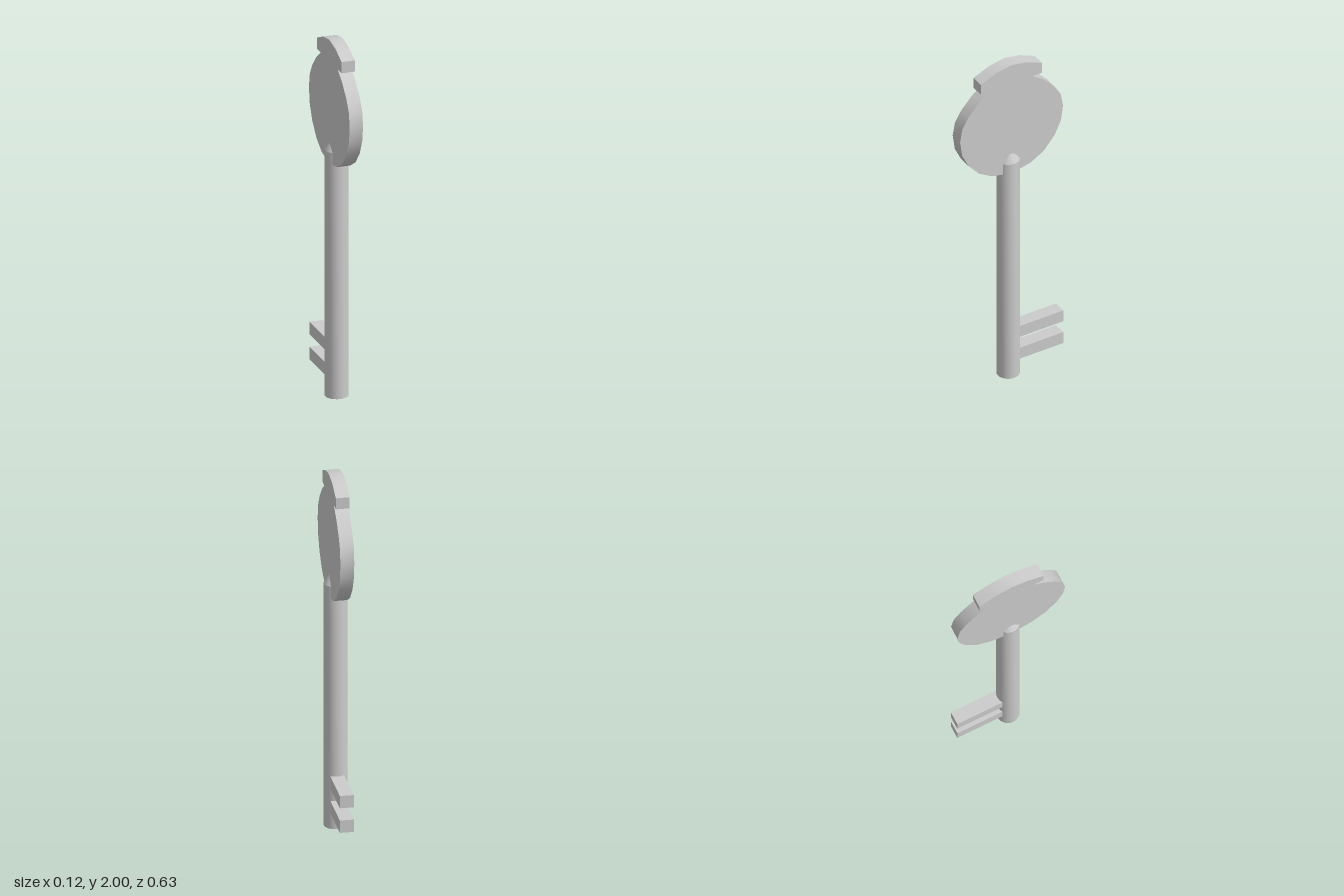
import * as THREE from 'three';
import { toCreasedNormals } from 'three/addons/utils/BufferGeometryUtils.js';

export function createModel() {
  const group = new THREE.Group();
  const material = new THREE.MeshStandardMaterial({ color: 0xcccccc });
  const add = (name, geometry) => {
    const mesh = new THREE.Mesh(geometry, material);
    mesh.name = name;
    group.add(mesh);
    return mesh;
  };

  // Bow: half outline (z, y) of the round plate and its cap, mirrored and extruded
  const half = [
    [0.06, 1.315], [0.12, 1.328], [0.2, 1.375], [0.265, 1.45], [0.303, 1.53],
    [0.316, 1.62], [0.302, 1.7], [0.262, 1.765], [0.195, 1.835], [0.13, 1.88],
    [0.188, 1.88], [0.188, 1.943], [0.095, 1.983],
  ];
  const mirrored = half.map(([z, y]) => [-z, y]).reverse();
  const outline = [...half, [0, 2], ...mirrored].map(([z, y]) => new THREE.Vector2(-z, y));
  const bowGeometry = new THREE.ExtrudeGeometry(new THREE.Shape(outline), {
    depth: 0.074, bevelEnabled: false,
  });
  bowGeometry.rotateY(Math.PI / 2).translate(-0.04, 0, 0);
  add('bow', toCreasedNormals(bowGeometry, 0.6));

  // Shaft with a conical tip running into the bow
  const shaftProfile = [[0, 0], [0.062, 0], [0.062, 1.38], [0, 1.49]]
    .map(([r, y]) => new THREE.Vector2(r, y));
  add('shaft', toCreasedNormals(new THREE.LatheGeometry(shaftProfile, 24), 0.45));

  // Two teeth of the bit
  for (const y of [0.125, 0.265]) {
    add('tooth', new THREE.BoxGeometry(0.074, 0.07, 0.285)).position.set(0, y, -0.1735);
  }

  return group;
}
